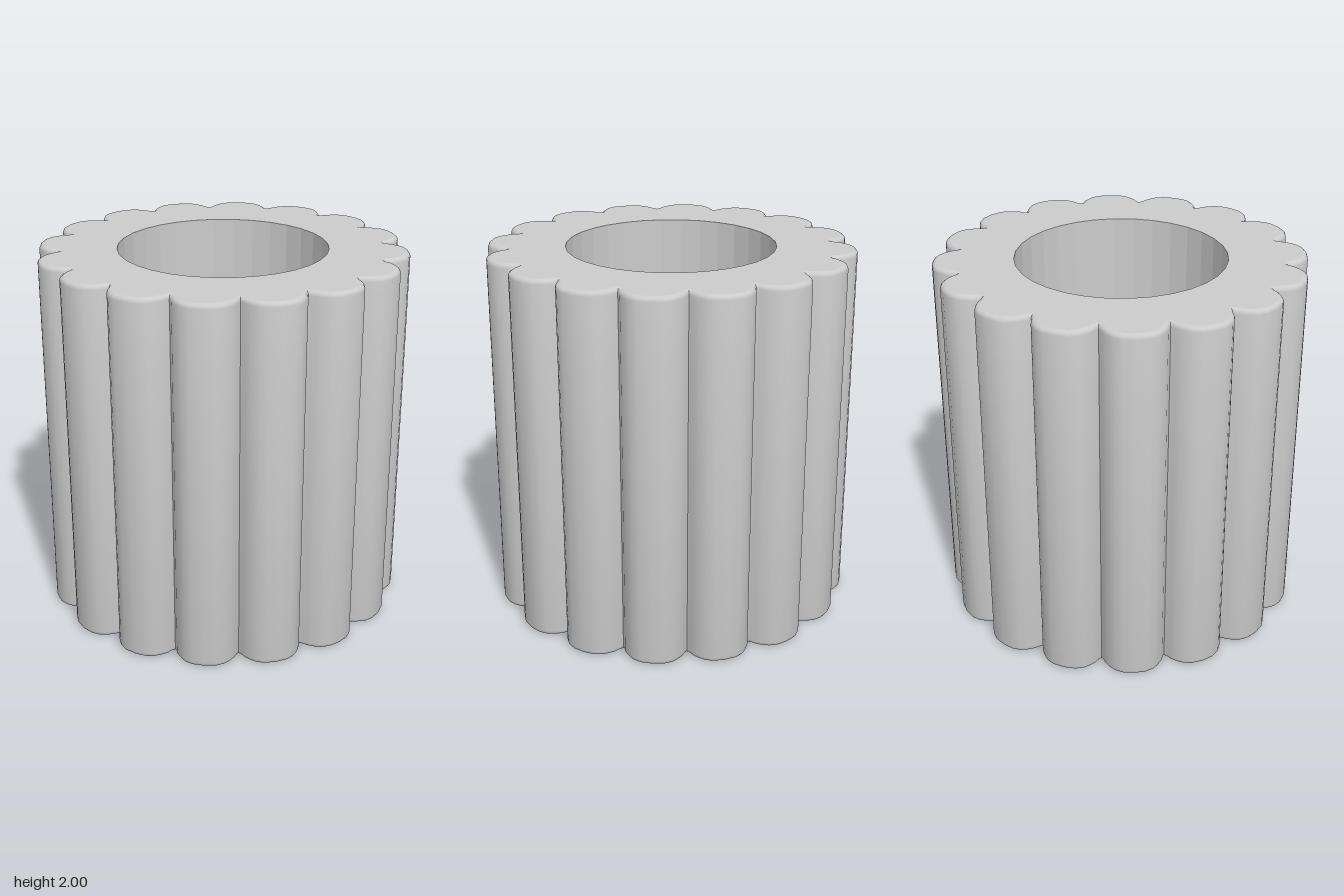
import * as THREE from 'three';
import { toCreasedNormals } from 'three/addons/utils/BufferGeometryUtils.js';

const HEIGHT = 2, LOBES = 16, BORE = 0.565, BORE_SIDES = 32, ROUND = 0.025;

// Half a lobe: [degrees from the groove, radius]
const HALF_LOBE = [[0, 0.872], [0.6, 0.885], [1.5, 0.912], [2.5, 0.931], [3.5, 0.948],
  [5, 0.969], [7.5, 0.987], [11.25, 0.993]];

// Closed scalloped outline, counter-clockwise
function scallopOutline() {
  const step = 360 / LOBES;
  const mirrored = HALF_LOBE.slice(1, -1).reverse().map(([d, r]) => [step - d, r]);
  const lobe = [...HALF_LOBE, ...mirrored];
  const points = [];
  for (let k = 0; k < LOBES; k++) {
    for (const [d, r] of lobe) {
      const a = THREE.MathUtils.degToRad(k * step + d);
      points.push(new THREE.Vector2(r * Math.cos(a), r * Math.sin(a)));
    }
  }
  return points;
}

// Move every outline point inward along its normal
function inset(points, distance) {
  const n = points.length;
  return points.map((p, i) => {
    const before = p.clone().sub(points[(i + n - 1) % n]).normalize();
    const after = points[(i + 1) % n].clone().sub(p).normalize();
    const t = before.add(after).normalize();
    return new THREE.Vector2(p.x - t.y * distance, p.y + t.x * distance);
  });
}

// Fluted wall with rounded top and bottom rims
function wallGeometry(outline) {
  const levels = [];
  const arc = 4;
  for (let i = 0; i <= arc; i++) {
    const a = (i / arc) * Math.PI / 2;
    levels.push([ROUND * (1 - Math.sin(a)), ROUND * (1 - Math.cos(a))]);
  }
  const rings = [...levels, ...levels.slice().reverse().map(([d, y]) => [d, HEIGHT - y])];
  const n = outline.length, position = [], index = [];
  rings.forEach(([d, y], j) => {
    for (const p of inset(outline, d)) position.push(p.x, y, -p.y);
    if (j === 0) return;
    for (let i = 0; i < n; i++) {
      const a = (j - 1) * n + i, b = (j - 1) * n + (i + 1) % n;
      index.push(a, b, b + n, a, b + n, a + n);
    }
  });
  const geometry = new THREE.BufferGeometry();
  geometry.setAttribute('position', new THREE.Float32BufferAttribute(position, 3));
  geometry.setIndex(index);
  return toCreasedNormals(geometry, Math.PI / 4);
}

// Flat end face with the round bore cut out
function endGeometry(outline) {
  const shape = new THREE.Shape(inset(outline, ROUND));
  const hole = [];
  for (let i = 0; i < BORE_SIDES; i++) {
    const a = -i / BORE_SIDES * Math.PI * 2;
    hole.push(new THREE.Vector2(BORE * Math.cos(a), BORE * Math.sin(a)));
  }
  shape.holes.push(new THREE.Path(hole));
  return new THREE.ShapeGeometry(shape);
}

// Faceted bore, facing inward
function boreGeometry() {
  const geometry = new THREE.CylinderGeometry(BORE, BORE, HEIGHT, BORE_SIDES, 1, true);
  geometry.scale(-1, 1, 1);
  geometry.translate(0, HEIGHT / 2, 0);
  const flat = geometry.toNonIndexed();
  flat.computeVertexNormals();
  return flat;
}

export function createModel() {
  const group = new THREE.Group();
  group.name = 'flutedSleeve';
  const smooth = new THREE.MeshStandardMaterial({ color: 0xcccccc });
  const faceted = new THREE.MeshStandardMaterial({ color: 0xcccccc, flatShading: true });
  const add = (name, geometry, material) => {
    const mesh = new THREE.Mesh(geometry, material);
    mesh.name = name;
    group.add(mesh);
  };
  const outline = scallopOutline();
  add('flutedWall', wallGeometry(outline), smooth);
  add('topFace', endGeometry(outline).rotateX(-Math.PI / 2).translate(0, HEIGHT, 0), smooth);
  add('bottomFace', endGeometry(outline).rotateX(Math.PI / 2), smooth);
  add('bore', boreGeometry(), faceted);
  return group;
}
